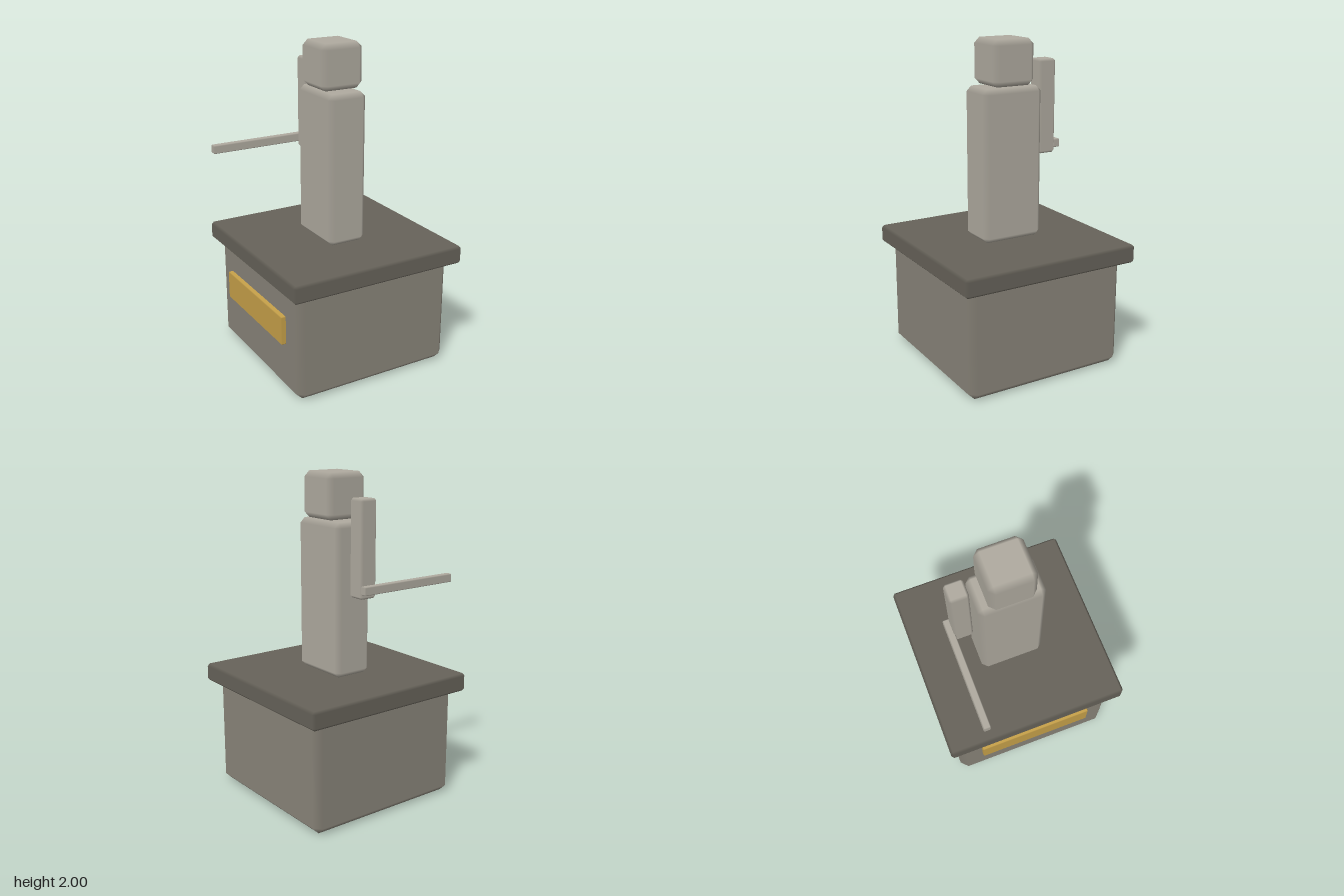
import * as THREE from 'three';
import { ConvexGeometry } from 'three/addons/geometries/ConvexGeometry.js';

// Box with single 45-degree chamfers; face corners keep the face normal so only the chamfers shade smoothly.
function chamferBox(size, b) {
  const half = size.map((s) => s / 2);
  const points = [];
  for (const sx of [-1, 1]) for (const sy of [-1, 1]) for (const sz of [-1, 1]) {
    const sign = [sx, sy, sz];
    for (let axis = 0; axis < 3; axis++) {
      points.push(new THREE.Vector3(...half.map((h, i) => sign[i] * (i === axis ? h : h - b))));
    }
  }
  const geometry = new ConvexGeometry(points);
  const { position, normal } = geometry.attributes;
  for (let i = 0; i < position.count; i++) {
    const p = [position.getX(i), position.getY(i), position.getZ(i)];
    const n = p.map((v, k) => (Math.abs(v) > half[k] - b / 2 ? Math.sign(v) : 0));
    normal.setXYZ(i, ...n);
  }
  return geometry;
}

export function createModel() {
  const group = new THREE.Group();
  const material = (color) => new THREE.MeshStandardMaterial({ color });
  const stone = material(0xb0aba0);
  const plinthStone = material(0x8a857a);
  const slabStone = material(0x67635a);
  const brass = material(0xc8a24a);

  // Adds a chamfered block spanning the given x, y and z ranges
  function block(name, x, y, z, bevel, mat) {
    const ranges = [x, y, z];
    const mesh = new THREE.Mesh(chamferBox(ranges.map(([a, b]) => b - a), bevel), mat);
    mesh.position.set(...ranges.map(([a, b]) => (a + b) / 2));
    mesh.name = name;
    group.add(mesh);
  }

  // Pedestal
  block('plinth', [-0.5, 0.55], [0, 0.705], [-0.525, 0.525], 0.043, plinthStone);
  block('topSlab', [-0.55, 0.608], [0.67, 0.782], [-0.58, 0.58], 0.015, slabStone);
  block('plaque', [-0.53, -0.49], [0.32, 0.5], [-0.37, 0.37], 0.005, brass);

  // Statue
  block('body', [-0.1, 0.152], [0.782, 1.717], [-0.2, 0.2], 0.031, stone);
  block('head', [-0.112, 0.165], [1.725, 2], [-0.14, 0.14], 0.034, stone);
  block('raisedArm', [-0.03, 0.085], [1.283, 1.863], [-0.336, -0.222], 0.014, stone);
  block('staff', [-0.608, 0.085], [1.313, 1.365], [-0.372, -0.328], 0.006, stone);

  return group;
}
